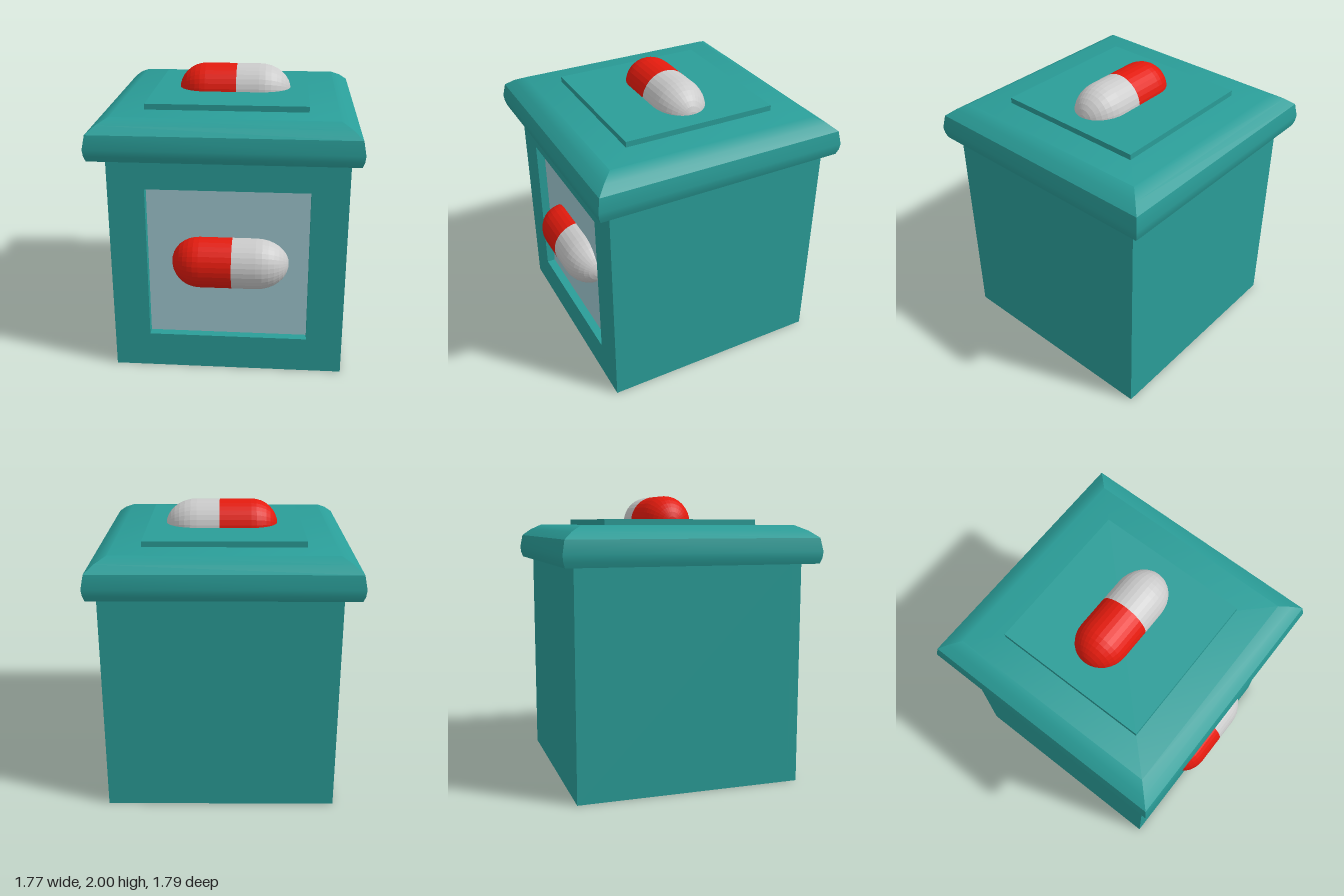
import * as THREE from 'three';
import { toCreasedNormals } from 'three/addons/utils/BufferGeometryUtils.js';

const teal = new THREE.MeshStandardMaterial({ color: 0x2a9d98 });
const pane = new THREE.MeshStandardMaterial({ color: 0x9fc8d0 });
const red = new THREE.MeshStandardMaterial({ color: 0xe41b0e, flatShading: true });
const grey = new THREE.MeshStandardMaterial({ color: 0xcccccc, flatShading: true });

function add(parent, name, geometry, material, x = 0, y = 0, z = 0) {
  const mesh = new THREE.Mesh(geometry, material);
  mesh.name = name;
  mesh.position.set(x, y, z);
  parent.add(mesh);
  return mesh;
}

// Box given by its minimum and maximum corners
function addBox(parent, name, material, [x0, y0, z0], [x1, y1, z1]) {
  return add(parent, name, new THREE.BoxGeometry(x1 - x0, y1 - y0, z1 - z0), material,
    (x0 + x1) / 2, (y0 + y1) / 2, (z0 + z1) / 2);
}

// Half a capsule along x: straight from the split at x = 0, then an elliptical cap
function capsuleHalf(side, straight, cap, radius) {
  const points = [new THREE.Vector2(radius, 0)];
  for (let i = 0; i <= 8; i++) {
    const a = (i / 8) * Math.PI / 2;
    points.push(new THREE.Vector2(i === 8 ? 0 : radius * Math.cos(a), side * (straight + cap * Math.sin(a))));
  }
  if (side < 0) points.reverse();
  return new THREE.LatheGeometry(points, 32).rotateZ(-Math.PI / 2);
}

function makeCapsule(name, x, y, z) {
  const capsule = new THREE.Group();
  capsule.name = name;
  capsule.position.set(x, y, z);
  add(capsule, 'redHalf', capsuleHalf(-1, 0.22, 0.19, 0.181), red);
  add(capsule, 'greyHalf', capsuleHalf(1, 0.16, 0.22, 0.181), grey);
  return capsule;
}

function rectangle(path, x0, y0, x1, y1) {
  path.moveTo(x0, y0);
  path.lineTo(x1, y0);
  path.lineTo(x1, y1);
  path.lineTo(x0, y1);
  path.closePath();
  return path;
}

export function createModel() {
  const model = new THREE.Group();
  model.name = 'dispenserBox';

  // Body with a framed recess in the front
  addBox(model, 'body', teal, [-0.765, 0, -0.8], [0.81, 1.54, 0.71]);
  const frame = rectangle(new THREE.Shape(), -0.765, 0, 0.81, 1.54);
  frame.holes.push(rectangle(new THREE.Path(), -0.52, 0.25, 0.565, 1.33));
  add(model, 'frontFrame', new THREE.ExtrudeGeometry(frame, { depth: 0.07, bevelEnabled: false }), teal, 0, 0, 0.71);
  add(model, 'windowPane', new THREE.PlaneGeometry(1.085, 1.08), pane, 0.0225, 0.79, 0.72);

  // Lid: a four-sided turned profile with mitred corners
  const profile = [[0, 1.54], [0.868, 1.54], [0.88, 1.577], [0.885, 1.62], [0.868, 1.713],
    [0.81, 1.76], [0.738, 1.797], [0, 1.797]]
    .map(([r, y]) => new THREE.Vector2(r * Math.SQRT2, y));
  const lid = new THREE.LatheGeometry(profile, 4, Math.PI / 4);
  add(model, 'lid', toCreasedNormals(lid, Math.PI / 6), teal, 0, 0, -0.006);
  addBox(model, 'lidPlate', teal, [-0.543, 1.79, -0.545], [0.54, 1.836, 0.533]);

  // Capsules half sunk into the lid and the window
  model.add(makeCapsule('lidCapsule', 0.035, 1.819, -0.015));
  model.add(makeCapsule('windowCapsule', 0.053, 0.797, 0.714));
  return model;
}
